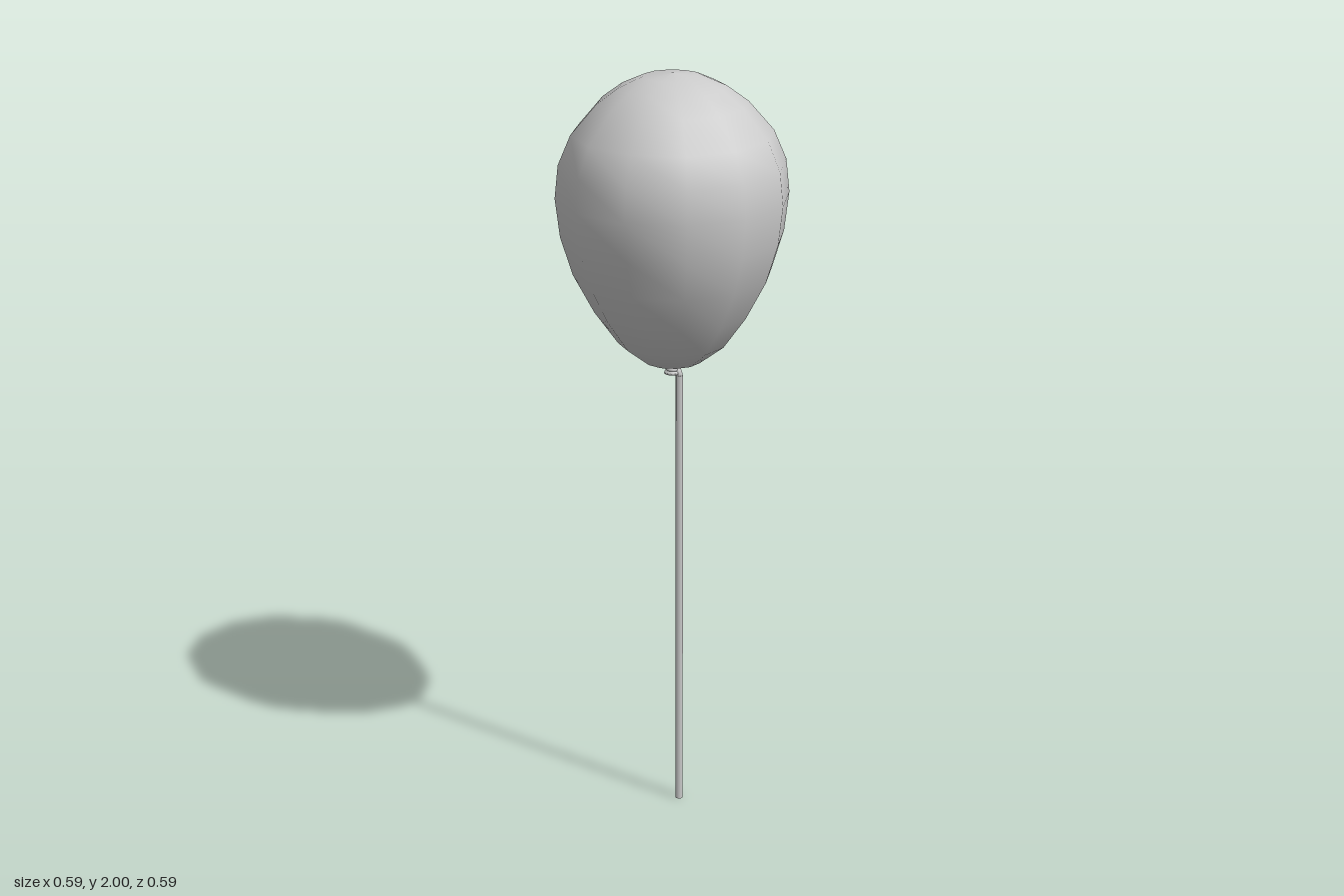
import * as THREE from 'three';

const material = new THREE.MeshStandardMaterial({ color: 0xcccccc });
const thin = new THREE.MeshStandardMaterial({ color: 0xcccccc, side: THREE.DoubleSide });

function add(group, name, geometry, mat = material) {
  const mesh = new THREE.Mesh(geometry, mat);
  mesh.name = name;
  group.add(mesh);
  return mesh;
}

const lathe = (profile, sides) =>
  new THREE.LatheGeometry(profile.map(([r, y]) => new THREE.Vector2(r, y)), sides);

export function createModel() {
  const group = new THREE.Group();
  group.name = 'balloonOnString';

  // Twelve-sided egg-shaped body, listed from the neck up
  add(group, 'balloonBody', lathe([
    [0.012, 1.238], [0.075, 1.256], [0.14, 1.306], [0.2, 1.39], [0.253, 1.49],
    [0.284, 1.59], [0.296, 1.69], [0.287, 1.775], [0.255, 1.85], [0.19, 1.925],
    [0.135, 1.965], [0.075, 1.992], [0, 2],
  ], 12));

  // Pinched neck flaring into the open lip
  add(group, 'neckLip', lathe([
    [0.006, 1.222], [0.022, 1.22], [0.021, 1.226], [0.01, 1.232], [0.013, 1.243],
  ], 12), thin);

  // Loop of string tied around the neck
  const loop = add(group, 'stringLoop', new THREE.TorusGeometry(0.013, 0.005, 6, 12));
  loop.rotation.x = Math.PI / 2;
  loop.position.y = 1.232;

  // String leaves the loop, bends and hangs straight down
  const path = new THREE.CurvePath();
  const start = new THREE.Vector3(0.004, 1.23, -0.008);
  const corner = new THREE.Vector3(0.018, 1.232, -0.008);
  const bend = new THREE.Vector3(0.018, 1.215, -0.008);
  path.add(new THREE.QuadraticBezierCurve3(start, corner, bend));
  add(group, 'stringBend', new THREE.TubeGeometry(path, 6, 0.009, 6), thin);

  const string = add(group, 'string', new THREE.CylinderGeometry(0.01, 0.01, 1.217, 8));
  string.position.set(0.018, 0.6085, -0.008);

  return group;
}
